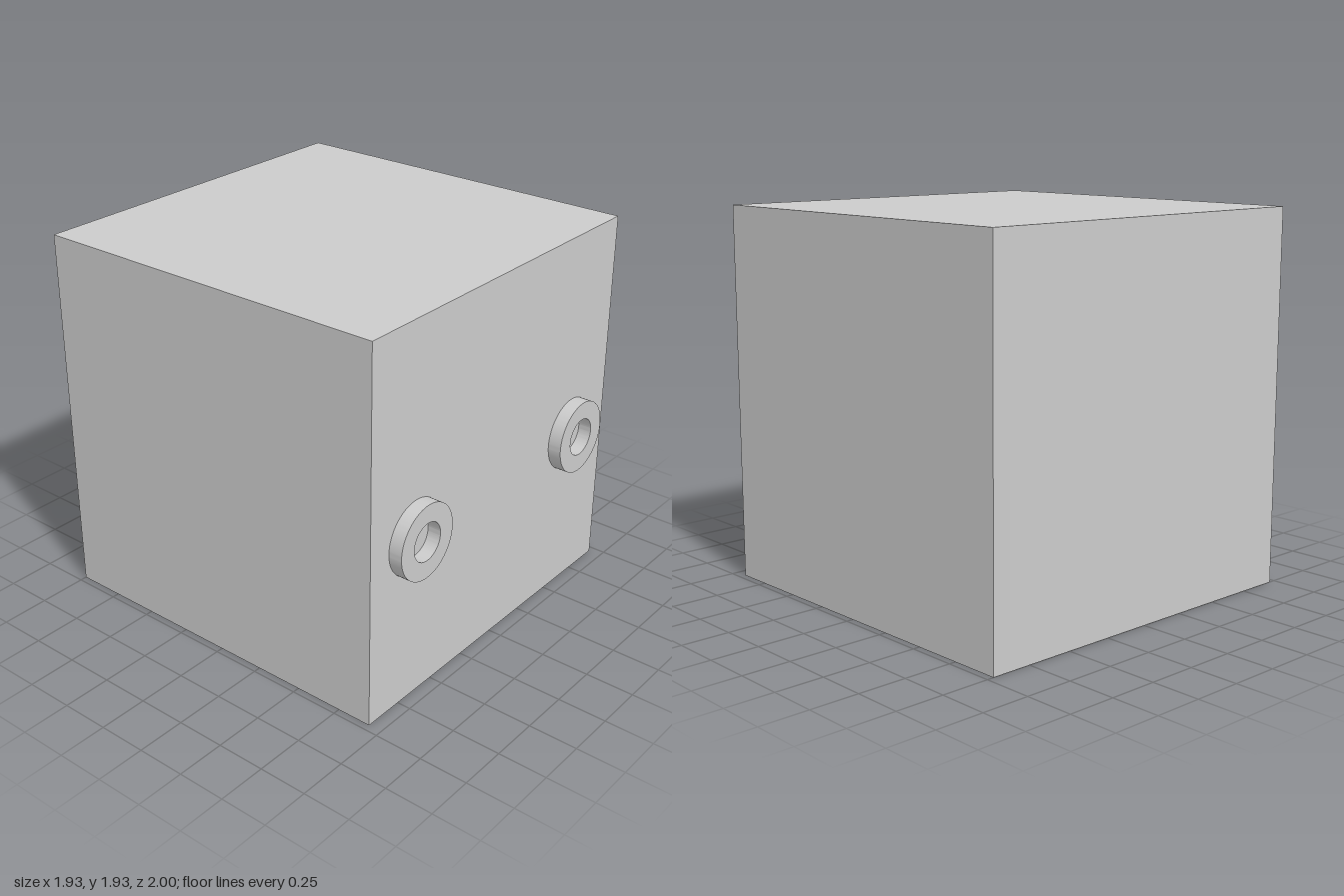
import * as THREE from 'three';
import { toCreasedNormals } from 'three/addons/utils/BufferGeometryUtils.js';

const SIZE = 1.93;        // edge of the cube
const FRONT = 0.93;       // z of the cube's front face
const RING_DEPTH = 0.07;

// Flat washer with sharp rims and smooth round walls, facing +z
function ringGeometry(outer, inner, depth) {
  const shape = new THREE.Shape().absarc(0, 0, outer, 0, Math.PI * 2, false);
  shape.holes.push(new THREE.Path().absarc(0, 0, inner, 0, Math.PI * 2, true));
  const geometry = new THREE.ExtrudeGeometry(shape, { depth, bevelEnabled: false, curveSegments: 64 });
  return toCreasedNormals(geometry, Math.PI / 6);
}

export function createModel() {
  const model = new THREE.Group();
  model.name = 'cubeWithRings';
  const material = new THREE.MeshStandardMaterial({ color: 0xcccccc });

  // Plain cube body
  const body = new THREE.Mesh(new THREE.BoxGeometry(SIZE, SIZE, SIZE), material);
  body.name = 'body';
  body.position.set(0, SIZE / 2, FRONT - SIZE / 2);
  model.add(body);

  // Two raised rings on the front face
  const ring = ringGeometry(0.19, 0.097, RING_DEPTH);
  for (const [name, side] of [['leftRing', 1], ['rightRing', -1]]) {
    const mesh = new THREE.Mesh(ring, material);
    mesh.name = name;
    mesh.position.set(side * 0.645, 0.86, FRONT);
    model.add(mesh);
  }
  return model;
}
